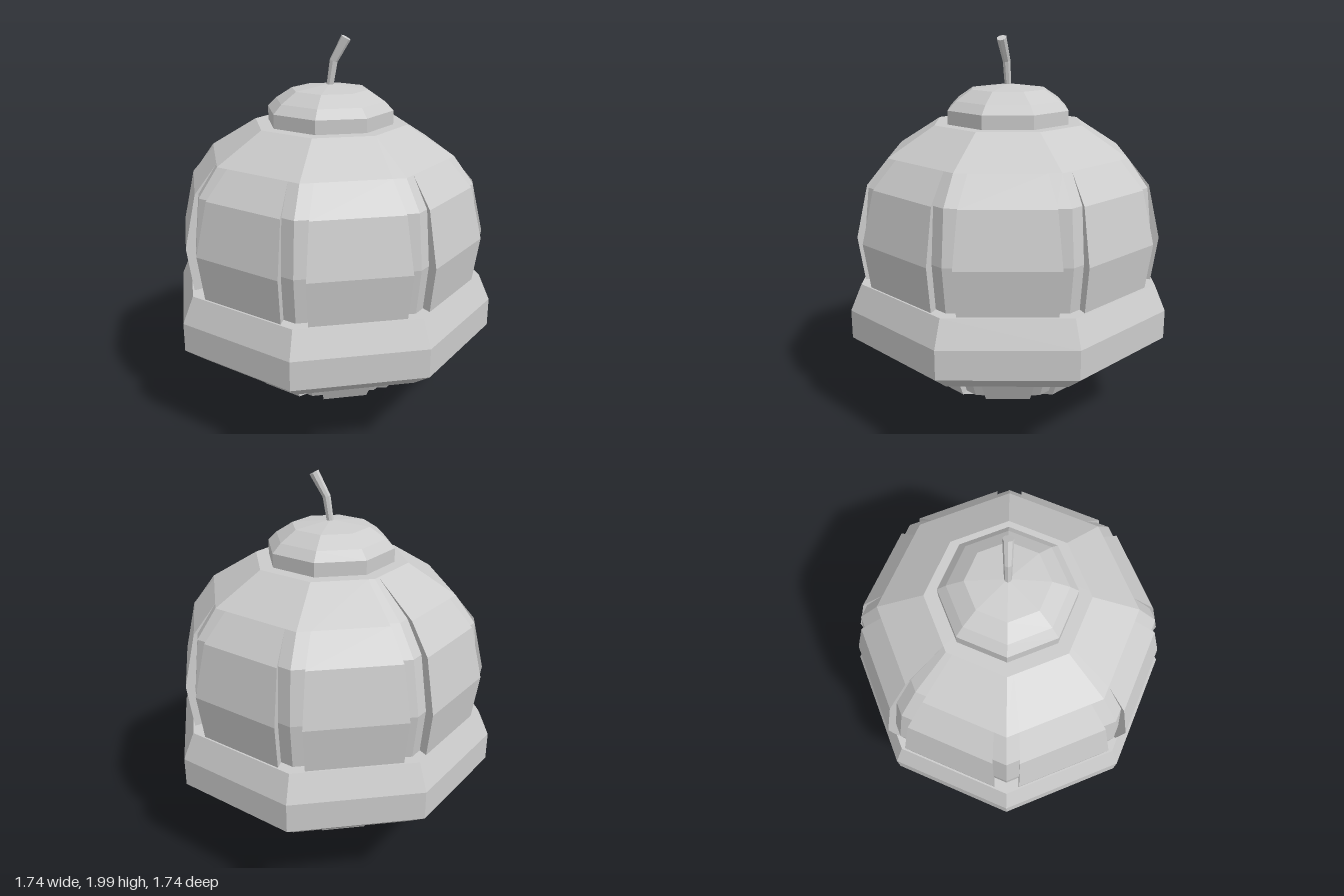
import * as THREE from 'three';

const SIDES = 8;
const material = new THREE.MeshStandardMaterial({ color: 0xcccccc, flatShading: true, side: THREE.DoubleSide });

function addMesh(group, name, geometry) {
  const mesh = new THREE.Mesh(geometry, material);
  mesh.name = name;
  group.add(mesh);
}

// Skin closed rings of points, listed bottom to top and anticlockwise from above
function loft(rings) {
  const positions = [], index = [], n = rings[0].length;
  rings.forEach(ring => ring.forEach(p => positions.push(p.x, p.y, p.z)));
  for (let i = 0; i < rings.length - 1; i++) {
    for (let j = 0; j < n; j++) {
      const a = i * n + j, b = i * n + (j + 1) % n;
      index.push(a, b, b + n, a, b + n, a + n);
    }
  }
  const geometry = new THREE.BufferGeometry();
  geometry.setAttribute('position', new THREE.Float32BufferAttribute(positions, 3));
  geometry.setIndex(index);
  const flat = geometry.toNonIndexed();
  flat.computeVertexNormals();
  return flat;
}

// Octagonal ring with a sunken groove along each corner; one corner may differ
function groovedRing([y, radius, halfWidth, depth, longDepth = depth]) {
  const ring = [], slope = Math.tan(Math.PI / SIDES);
  for (let k = 0; k < SIDES; k++) {
    const angle = k * 2 * Math.PI / SIDES;
    const d = k === 5 ? longDepth : depth;
    const edge = radius - halfWidth * slope;
    const section = [
      [edge, -halfWidth], [edge - d, -halfWidth], [radius - d, 0],
      [edge - d, halfWidth], [edge, halfWidth]
    ];
    for (const [r, t] of section) {
      ring.push(new THREE.Vector3(
        r * Math.sin(angle) + t * Math.cos(angle), y,
        r * Math.cos(angle) - t * Math.sin(angle)));
    }
  }
  return ring;
}

function octagonLathe(profile) {
  return new THREE.LatheGeometry(profile.map(([r, y]) => new THREE.Vector2(r, y)), SIDES);
}

export function createModel() {
  const model = new THREE.Group();
  model.name = 'ornament';

  // Dome: y, corner radius, groove half width, groove depth, long groove depth
  addMesh(model, 'upperBody', loft([
    [0.60, 0.77, 0.065, 0.05],
    [0.77, 0.80, 0.065, 0.05],
    [1.00, 0.832, 0.065, 0.053],
    [1.27, 0.768, 0.065, 0.02, 0.045],
    [1.41, 0.645, 0.06, 0, 0.035],
    [1.56, 0.40, 0.03, 0],
    [1.56, 0.20, 0.015, 0]
  ].map(groovedRing)));

  // Pointed underside
  addMesh(model, 'lowerBody', loft([
    [0.005, 0, 0, 0],
    [0.06, 0.20, 0.045, 0.012],
    [0.19, 0.48, 0.065, 0.045],
    [0.325, 0.55, 0.065, 0.05],
    [0.45, 0.60, 0.065, 0.05]
  ].map(groovedRing)));

  // Wide band around the middle
  addMesh(model, 'band', octagonLathe([
    [0.50, 0.45], [0.56, 0.325], [0.76, 0.40], [0.87, 0.485],
    [0.87, 0.635], [0.81, 0.77], [0.70, 0.77]
  ]));

  // Cap
  addMesh(model, 'cap', octagonLathe([
    [0.33, 1.56], [0.33, 1.63], [0.285, 1.675], [0.20, 1.73], [0, 1.755]
  ]));

  // Bent stem: x, y, radius, lean
  const stemRings = [
    [0, 1.74, 0.018, 0.12],
    [0.02, 1.87, 0.021, 0.3],
    [0.083, 1.985, 0.026, 0.5],
    [0.083, 1.985, 0, 0.5]
  ].map(([x, y, r, lean]) => Array.from({ length: SIDES }, (_, j) => {
    const a = j * 2 * Math.PI / SIDES, s = r * Math.sin(a);
    return new THREE.Vector3(x + s * Math.cos(lean), y - s * Math.sin(lean), r * Math.cos(a));
  }));
  addMesh(model, 'stem', loft(stemRings));

  return model;
}
